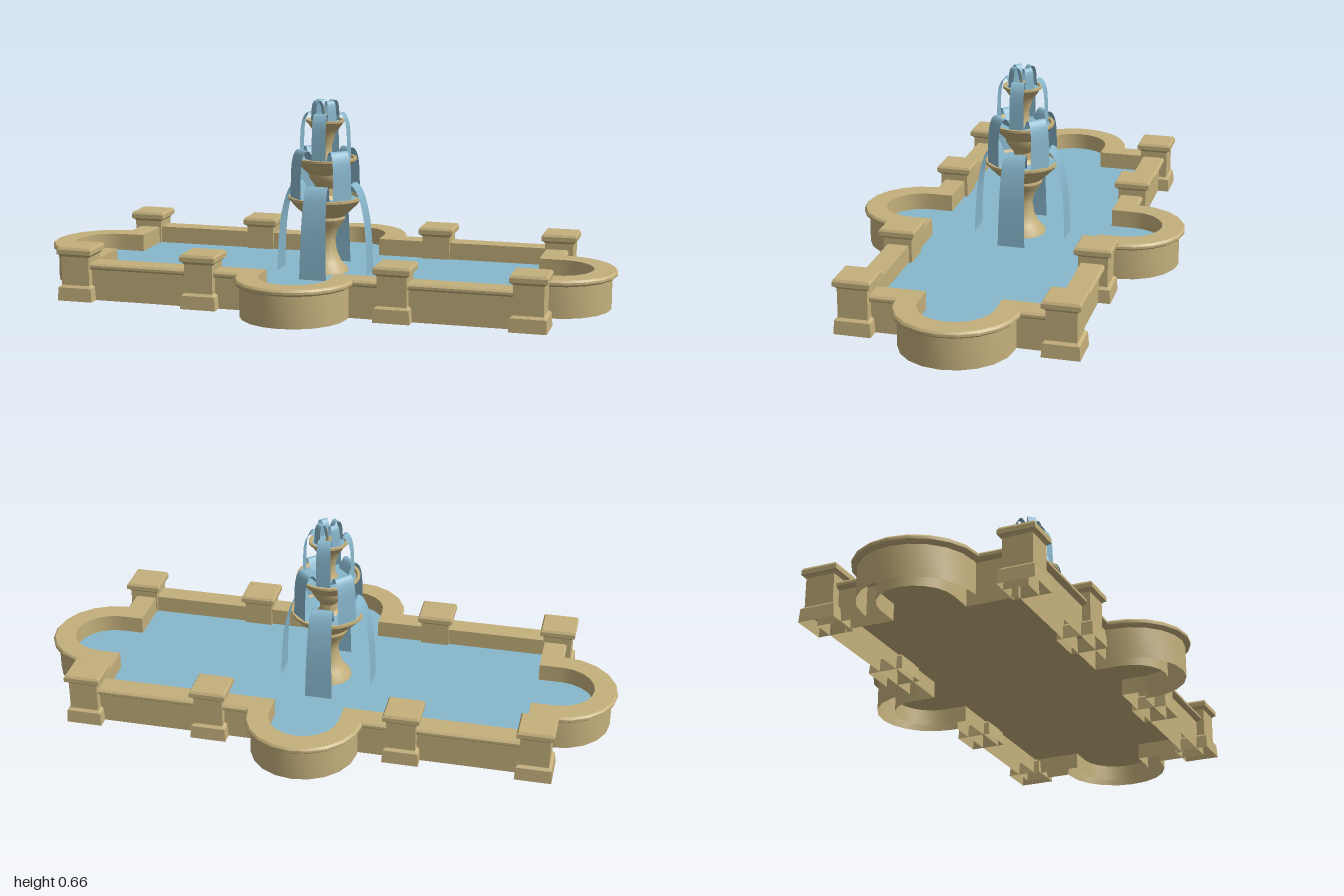
import * as THREE from 'three';
import { toCreasedNormals } from 'three/addons/utils/BufferGeometryUtils.js';

const stone = new THREE.MeshStandardMaterial({ color: 0xc4b07c, side: THREE.DoubleSide });
stone.name = 'sandstone';
const water = new THREE.MeshStandardMaterial({ color: 0x88b7cd, side: THREE.DoubleSide });
water.name = 'water';

const v2 = ([x, y]) => new THREE.Vector2(x, y);

function add(parent, name, geometry, material) {
  const mesh = new THREE.Mesh(geometry, material);
  mesh.name = name;
  parent.add(mesh);
  return mesh;
}

// Pool outline: a rectangle with a round lobe on each side, moved inward by d
function outline(d) {
  const hx = 0.799 - d, hz = 0.369 - d, pts = [];
  for (let k = 0; k < 4; k++) {
    const alongX = k % 2 === 0;
    const centre = alongX ? 0.8 : 0.37;
    const radius = (alongX ? 0.2 : 0.196) - d;
    const edge = alongX ? hx : hz, side = alongX ? hz : hx;
    const local = [[edge, -radius]];
    for (let i = 0; i <= 10; i++) {
      const a = -Math.PI / 2 + (i / 10) * Math.PI;
      local.push([centre + radius * Math.cos(a), radius * Math.sin(a)]);
    }
    local.push([edge, radius], [edge, side]);
    const c = [1, 0, -1, 0][k], s = [0, 1, 0, -1][k];
    for (const [x, z] of local) pts.push([x * c - z * s, x * s + z * c]);
  }
  return pts;
}

// Wall with its rim: the outline repeated at each inset and height, then joined
function wallGeometry(profile) {
  const pos = [], index = [];
  let n = 0;
  for (const [d, y] of profile) {
    const ring = outline(d);
    n = ring.length;
    for (const [x, z] of ring) pos.push(x, y, z);
  }
  for (let i = 0; i < profile.length - 1; i++) {
    for (let j = 0; j < n; j++) {
      const a = i * n + j, b = i * n + (j + 1) % n;
      index.push(a, a + n, b + n, a, b + n, b);
    }
  }
  const g = new THREE.BufferGeometry();
  g.setAttribute('position', new THREE.Float32BufferAttribute(pos, 3));
  g.setIndex(index);
  return toCreasedNormals(g, 0.5);
}

// Thin curtain of falling water following (radius, height) points
function sheetGeometry(points, topHalf, bottomHalf) {
  const curve = new THREE.SplineCurve(points.map(v2));
  const g = new THREE.PlaneGeometry(1, 1, 1, 16);
  const p = g.attributes.position;
  for (let i = 0; i < p.count; i++) {
    const t = 0.5 - p.getY(i);
    const c = curve.getPoint(t);
    const half = THREE.MathUtils.lerp(topHalf, bottomHalf, t);
    p.setXYZ(i, p.getX(i) * 2 * half, c.y, c.x);
  }
  g.computeVertexNormals();
  return g;
}

function turned(profile) {
  return toCreasedNormals(new THREE.LatheGeometry(profile.map(v2), 24), 0.6);
}

export function createModel() {
  const model = new THREE.Group();
  model.name = 'fountain';

  // Pool
  const pool = new THREE.Group();
  pool.name = 'pool';
  model.add(pool);
  add(pool, 'poolWall', wallGeometry([
    [0.018, 0], [0.018, 0.105], [0.007, 0.108], [0, 0.114],
    [0, 0.122], [0.006, 0.129], [0.078, 0.129], [0.078, 0],
  ]), stone);
  const basin = new THREE.ShapeGeometry(new THREE.Shape(outline(0.078).map(v2)));
  const surface = add(pool, 'poolWater', basin, water);
  surface.rotation.x = -Math.PI / 2;
  surface.position.y = 0.07;
  const floor = add(pool, 'poolFloor', basin, stone);
  floor.rotation.x = Math.PI / 2;
  floor.position.y = 0.055;

  // Square pillars with plinth and cap
  const pillarProfile = [
    [0.061, 0], [0.058, 0.045], [0.049, 0.053], [0.049, 0.15], [0.054, 0.156],
    [0.061, 0.16], [0.061, 0.175], [0.056, 0.183], [0, 0.183],
  ].map(([h, y]) => new THREE.Vector2(h * Math.SQRT2, y));
  const pillar = new THREE.LatheGeometry(pillarProfile, 4).rotateY(Math.PI / 4).toNonIndexed();
  pillar.computeVertexNormals();
  for (const x of [-0.765, -0.327, 0.327, 0.765]) {
    for (const z of [-0.33, 0.33]) add(pool, 'pillar', pillar, stone).position.set(x, 0, z);
  }

  // Stacked bowls and stems
  const tiers = new THREE.Group();
  tiers.name = 'tiers';
  model.add(tiers);
  add(tiers, 'lowerBowl', turned([
    [0.082, 0.06], [0.078, 0.08], [0.055, 0.105], [0.04, 0.14], [0.034, 0.18], [0.042, 0.215],
    [0.06, 0.238], [0.068, 0.255], [0.066, 0.264], [0.085, 0.28], [0.112, 0.306], [0.122, 0.32],
    [0.127, 0.322], [0.127, 0.331], [0.116, 0.331], [0.108, 0.315],
  ]), stone);
  add(tiers, 'middleBowl', turned([
    [0.045, 0.315], [0.03, 0.335], [0.03, 0.36], [0.045, 0.38], [0.056, 0.397], [0.058, 0.41],
    [0.075, 0.425], [0.095, 0.445], [0.103, 0.456], [0.108, 0.458], [0.108, 0.466],
    [0.098, 0.466], [0.09, 0.452],
  ]), stone);
  add(tiers, 'topBowl', turned([
    [0.035, 0.452], [0.024, 0.47], [0.022, 0.505], [0.03, 0.53], [0.035, 0.55], [0.046, 0.562],
    [0.06, 0.583], [0.066, 0.587], [0.066, 0.595], [0.058, 0.595], [0.052, 0.585],
  ]), stone);
  add(tiers, 'nozzle', turned([
    [0.014, 0.583], [0.009, 0.6], [0.009, 0.628], [0.006, 0.634], [0, 0.634],
  ]), stone);
  for (const [radius, y] of [[0.112, 0.322], [0.094, 0.458], [0.055, 0.589]]) {
    const disc = add(tiers, 'bowlWater', new THREE.CircleGeometry(radius, 24), water);
    disc.rotation.x = -Math.PI / 2;
    disc.position.y = y;
  }

  // Four water curtains per tier, alternating straight and diagonal
  const cascades = [
    ['topJet', Math.PI / 4, 0.008, 0.018,
      [[0.008, 0.61], [0.014, 0.645], [0.028, 0.661], [0.042, 0.648], [0.046, 0.59]]],
    ['topCascade', 0, 0.021, 0.025,
      [[0.035, 0.59], [0.05, 0.618], [0.066, 0.612], [0.08, 0.57], [0.084, 0.459]]],
    ['middleCascade', Math.PI / 4, 0.03, 0.036,
      [[0.06, 0.459], [0.08, 0.493], [0.1, 0.487], [0.113, 0.44], [0.116, 0.325]]],
    ['lowerCascade', 0, 0.034, 0.047,
      [[0.07, 0.323], [0.092, 0.378], [0.122, 0.352], [0.145, 0.27], [0.155, 0.17], [0.159, 0.07]]],
  ];
  for (const [name, turn, topHalf, bottomHalf, points] of cascades) {
    const sheet = sheetGeometry(points, topHalf, bottomHalf);
    for (let k = 0; k < 4; k++) {
      add(model, name, sheet, water).rotation.y = turn + (k * Math.PI) / 2;
    }
  }
  return model;
}
